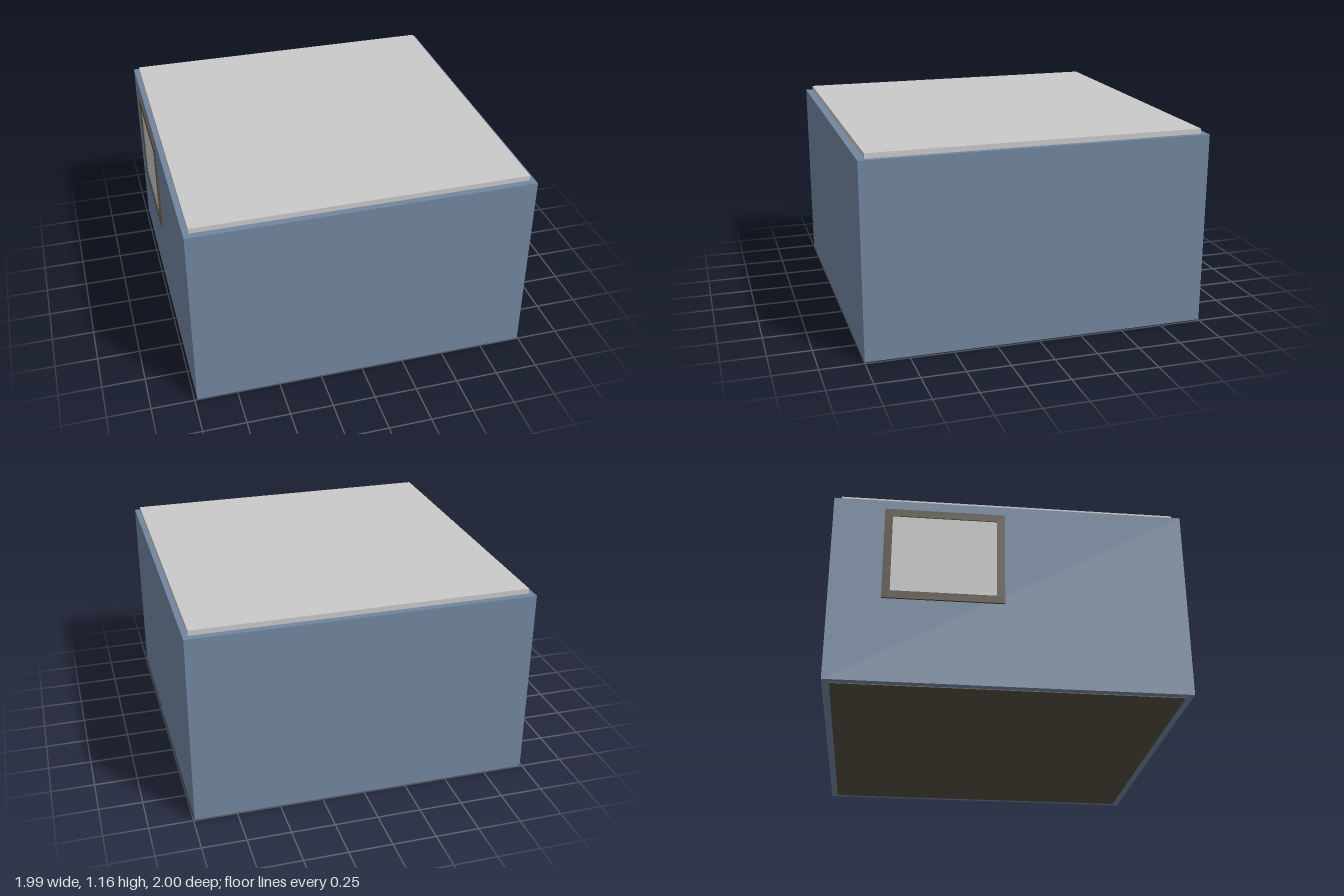
import * as THREE from 'three';

const mat = (name, color) => {
  const m = new THREE.MeshStandardMaterial({ color });
  m.name = name;
  return m;
};

export function createModel() {
  const model = new THREE.Group();
  model.name = 'building';
  const blue = mat('wallBlue', 0x72869f);
  const grey = mat('lightGrey', 0xc9c9c9);
  const dark = mat('darkBrown', 0x554d40);

  // Box given by its lower and upper corners
  const block = (name, material, [x0, y0, z0], [x1, y1, z1]) => {
    const mesh = new THREE.Mesh(new THREE.BoxGeometry(x1 - x0, y1 - y0, z1 - z0), material);
    mesh.position.set((x0 + x1) / 2, (y0 + y1) / 2, (z0 + z1) / 2);
    mesh.name = name;
    model.add(mesh);
  };

  // Walls, roof slab and floor slab
  const wallX = -0.985;
  block('walls', blue, [wallX, 0.004, -1], [0.993, 1.13, 1]);
  block('roofSlab', grey, [-0.955, 1.12, -0.96], [0.963, 1.16, 0.96]);
  block('floorSlab', dark, [-0.945, 0, -0.96], [0.953, 0.03, 0.96]);

  // Window frame: a rectangular ring standing out from the right wall
  const w = 0.68, h = 0.57, bar = 0.045, depth = 0.011;
  const rect = (Type, a, b) => new Type([[-a, -b], [a, -b], [a, b], [-a, b]].map(p => new THREE.Vector2(...p)));
  const ring = rect(THREE.Shape, w / 2, h / 2);
  ring.holes.push(rect(THREE.Path, w / 2 - bar, h / 2 - bar));
  const frame = new THREE.Mesh(new THREE.ExtrudeGeometry(ring, { depth, bevelEnabled: false }), dark);
  frame.name = 'windowFrame';
  frame.rotation.y = -Math.PI / 2;
  frame.position.set(wallX, 0.785, -0.37);
  model.add(frame);

  // Window pane, set back inside the frame
  const pw = w / 2 - bar, ph = h / 2 - bar;
  block('windowPane', grey, [wallX - 0.005, 0.785 - ph, -0.37 - pw], [wallX, 0.785 + ph, -0.37 + pw]);

  return model;
}
